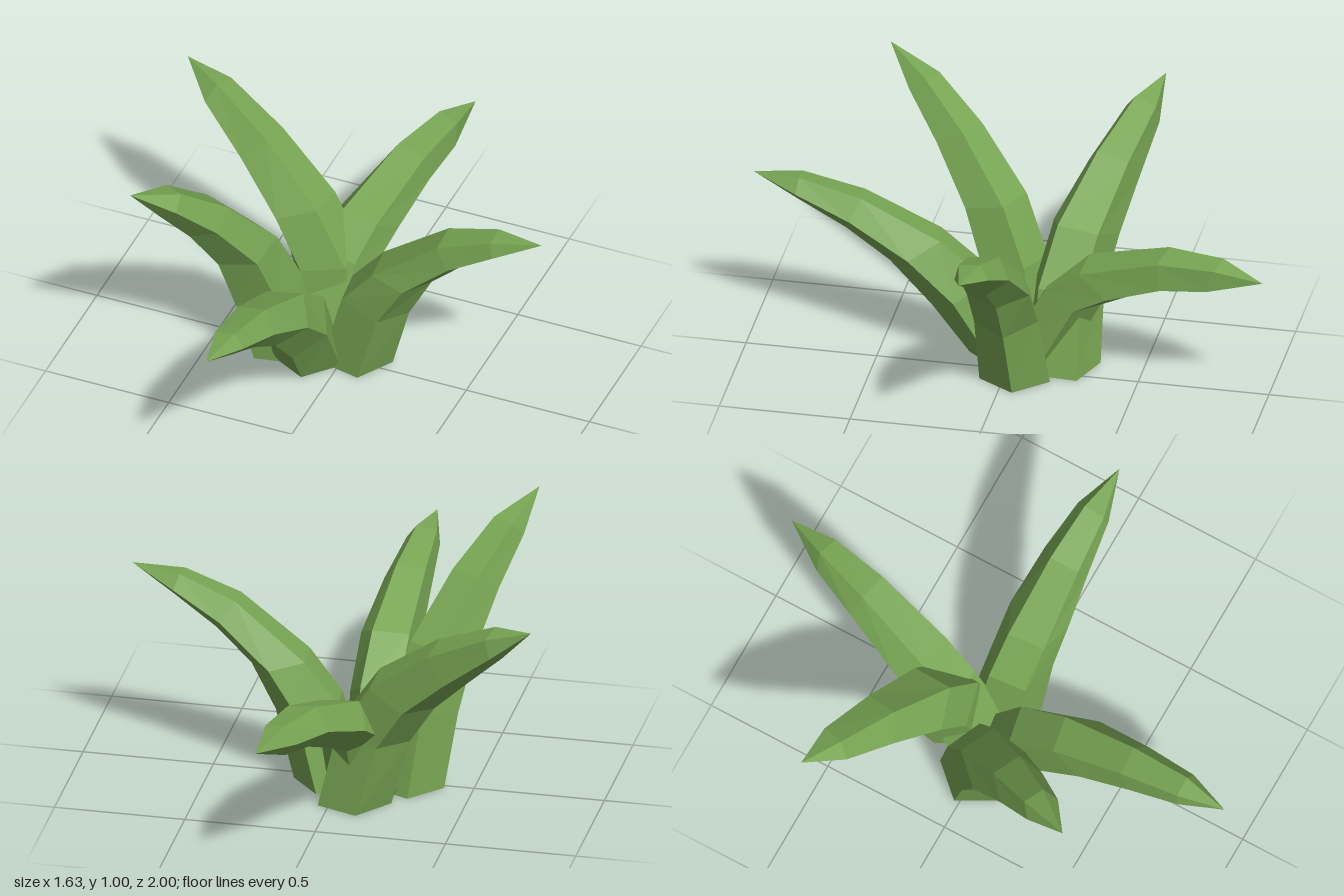
import * as THREE from 'three';

const SIDES = 5;
const HALF_WIDTHS = [0.133, 0.12, 0.119, 0.095, 0.068];
const BOW_WEIGHTS = [0, 1, 1, 0.6, 0.3];

// Each leaf: base centre (x, z), tip (x, y, z), sideways bow, width scale, and the
// outer (lower) and inner (upper) outlines above the base as [distance, height].
const LEAVES = [
  { name: 'leftLeaf', base: [0.04, -0.04], tip: [0.815, 0.795, 0.02], roll: -0.17, bow: 0.01, width: 1,
    outer: [[0.215, 0.27], [0.31, 0.45], [0.45, 0.58], [0.61, 0.69]],
    inner: [[-0.03, 0.33], [0.1, 0.49], [0.37, 0.7], [0.585, 0.78]] },
  { name: 'frontLeaf', base: [-0.125, 0.028], tip: [-0.14, 0.66, 1], roll: -0.19, bow: -0.028, width: 0.95,
    outer: [[0.28, 0.2], [0.44, 0.37], [0.61, 0.48], [0.8, 0.575]],
    inner: [[0.06, 0.33], [0.25, 0.48], [0.55, 0.615], [0.79, 0.668]] },
  { name: 'frontRightLeaf', base: [-0.25, 0], tip: [-0.625, 1, 0.575], roll: -0.14, bow: 0.016, width: 1.02,
    outer: [[0.21, 0.27], [0.29, 0.5], [0.42, 0.69], [0.56, 0.85]],
    inner: [[-0.05, 0.33], [0.06, 0.55], [0.275, 0.78], [0.48, 0.93]] },
  { name: 'backRightLeaf', base: [-0.085, -0.19], tip: [-0.815, 0.875, -0.44], roll: -0.28, bow: -0.015, width: 1.07,
    outer: [[0.215, 0.27], [0.32, 0.43], [0.465, 0.57], [0.63, 0.725]],
    inner: [[-0.05, 0.33], [0.09, 0.53], [0.35, 0.72], [0.6, 0.84]] },
  { name: 'backLeaf', base: [-0.1, -0.066], tip: [0.12, 0.54, -1], roll: -0.19, bow: -0.024, width: 1.01,
    outer: [[0.27, 0.265], [0.4, 0.335], [0.57, 0.41], [0.74, 0.445]],
    inner: [[0.08, 0.35], [0.22, 0.45], [0.55, 0.565], [0.78, 0.58]] },
];

// Five-sided leaf lofted through its rings and closed by a pointed tip
function leafGeometry({ base, tip, roll, bow, width, outer, inner }) {
  const heading = new THREE.Vector2(tip[0] - base[0], tip[2] - base[1]).normalize();
  const place = (r, y, side) => [
    base[0] + heading.x * r - heading.y * side,
    y,
    base[1] + heading.y * r + heading.x * side,
  ];

  const lower = [[0.14, 0], ...outer];
  const upper = [[-0.12, 0], ...inner];
  const rings = lower.map(([ro, yo], i) => {
    const [ri, yi] = upper[i];
    const f = 1 / 1.809; // centre of a pentagon, measured from its outer corner
    return Array.from({ length: SIDES }, (_, k) => {
      const a = (k / SIDES) * Math.PI * 2 + roll;
      const depth = f * (1 - Math.cos(a));
      const side = BOW_WEIGHTS[i] * bow + ((HALF_WIDTHS[i] * width) / 0.951) * Math.sin(a);
      return place(ro + (ri - ro) * depth, yo + (yi - yo) * depth, side);
    });
  });

  const last = rings.length - 1;
  const pos = [];
  const tri = (...corners) => corners.forEach((c) => pos.push(...c));
  for (let k = 0; k < SIDES; k++) {
    const n = (k + 1) % SIDES;
    for (let i = 0; i < last; i++) {
      const lo = rings[i], hi = rings[i + 1];
      tri(lo[k], hi[k], lo[n]);
      tri(lo[n], hi[k], hi[n]);
    }
    tri(rings[last][k], tip, rings[last][n]);
    tri(place(0, 0, 0), rings[0][k], rings[0][n]); // flat underside
  }

  const geometry = new THREE.BufferGeometry();
  geometry.setAttribute('position', new THREE.Float32BufferAttribute(pos, 3));
  geometry.computeVertexNormals();
  return geometry;
}

export function createModel() {
  const plant = new THREE.Group();
  plant.name = 'plant';
  const green = new THREE.MeshStandardMaterial({ color: 0x78a553, flatShading: true });
  for (const leaf of LEAVES) {
    const mesh = new THREE.Mesh(leafGeometry(leaf), green);
    mesh.name = leaf.name;
    plant.add(mesh);
  }
  return plant;
}
